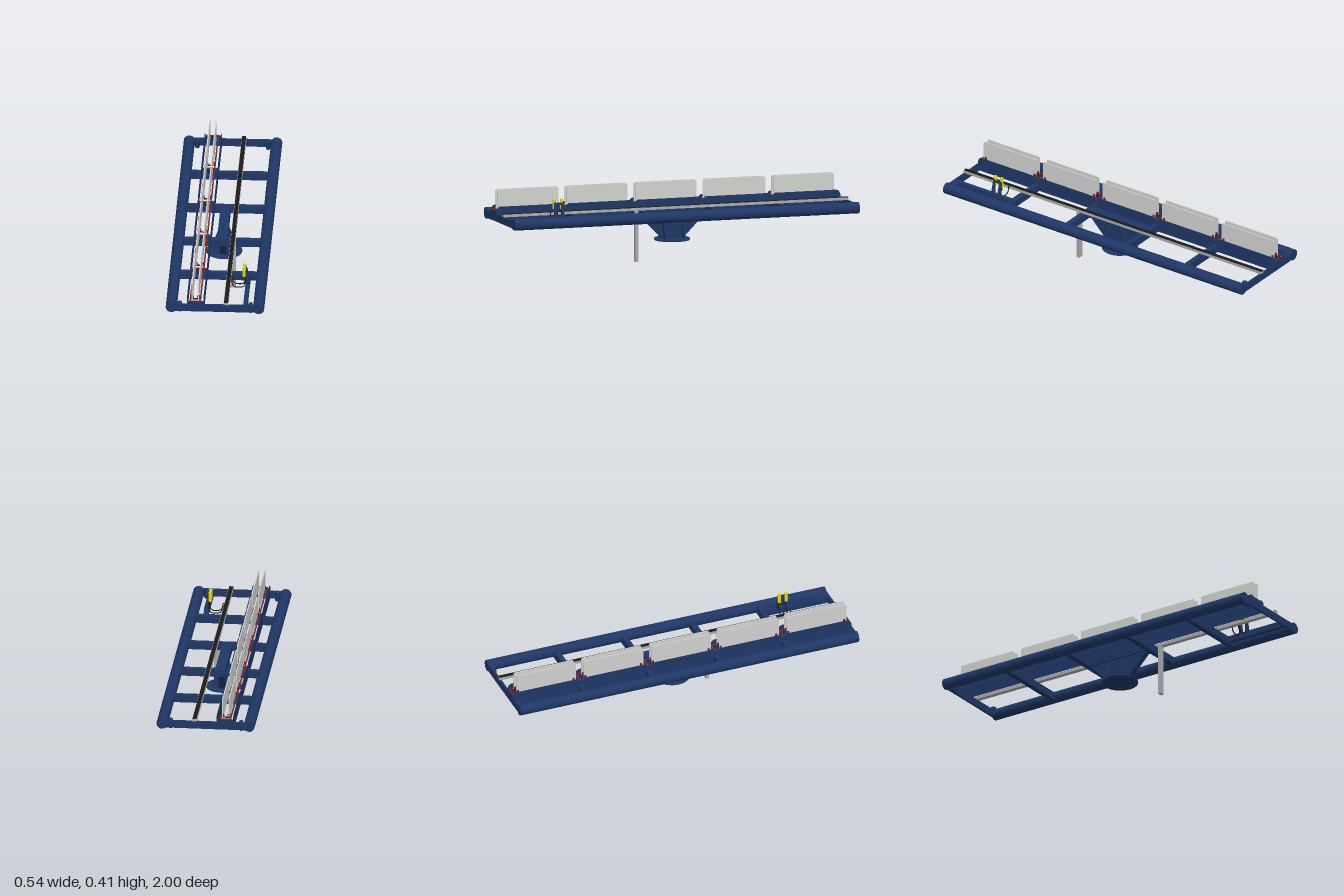
import * as THREE from 'three';

const mat = (name, color) => {
  const m = new THREE.MeshStandardMaterial({ color });
  m.name = name;
  return m;
};

export function createModel() {
  const model = new THREE.Group();
  model.name = 'platformFrame';
  const blue = mat('frameBlue', 0x1e3766);
  const pale = mat('panelPaleGrey', 0xd0d2ce);
  const grey = mat('postGrey', 0xaaaaaa);
  const black = mat('rubberBlack', 0x1c1a18);
  const red = mat('clampRed', 0x7c262e);
  const yellow = mat('lampYellow', 0xe6de00);

  const add = (name, geo, material, x = 0, y = 0, z = 0) => {
    const mesh = new THREE.Mesh(geo, material);
    mesh.name = name;
    mesh.position.set(x, y, z);
    model.add(mesh);
    return mesh;
  };
  // Box given by its limits on each axis
  const box = (name, material, x0, x1, y0, y1, z0, z1) =>
    add(name, new THREE.BoxGeometry(x1 - x0, y1 - y0, z1 - z0), material,
      (x0 + x1) / 2, (y0 + y1) / 2, (z0 + z1) / 2);
  // Extruded outline, centred on its thickness
  const plate = (points, depth) => {
    const shape = new THREE.Shape(points.map(([x, y]) => new THREE.Vector2(x, y)));
    return new THREE.ExtrudeGeometry(shape, { depth, bevelEnabled: false }).translate(0, 0, -depth / 2);
  };

  // Long side tubes and rounded corner lugs
  for (const s of [-1, 1]) {
    add('sideTube', new THREE.CylinderGeometry(0.031, 0.031, 2, 32).rotateX(Math.PI / 2), blue, s * 0.24, 0.265, 0);
    for (const e of [-1, 1]) {
      const lug = add('cornerLug', new THREE.CapsuleGeometry(0.014, 0.033, 6, 16), blue, s * 0.195, 0.2625, e * 0.979);
      lug.scale.z = 1.4;
    }
  }

  // Cross beams
  for (const z of [-0.6, -0.2, 0.2, 0.6]) box('crossBeam', blue, -0.225, 0.225, 0.242, 0.284, z - 0.015, z + 0.015);
  for (const z of [-0.994, 0.994]) box('endBeam', blue, -0.225, 0.225, 0.242, 0.284, z - 0.006, z + 0.006);

  // Pedestal: spine, tapered web, gussets and round foot
  box('spineBeam', blue, -0.028, 0.028, 0.242, 0.284, -0.2, 0.2);
  const web = plate([[-0.06, 0.113], [0.06, 0.113], [0.187, 0.243], [-0.187, 0.243]], 0.034);
  add('pedestalWeb', web.rotateY(Math.PI / 2), blue);
  for (const z of [-0.055, 0.055]) {
    add('pedestalGusset', plate([[-0.06, 0.112], [0.06, 0.112], [0.06, 0.134], [0.02, 0.243], [-0.02, 0.243], [-0.06, 0.134]], 0.008), blue, 0, 0, z);
  }
  const foot = [[0, 0.102], [0.096, 0.102], [0.099, 0.104], [0.1, 0.1075], [0.099, 0.111], [0.096, 0.113], [0, 0.113]];
  add('pedestalFoot', new THREE.LatheGeometry(foot.map(p => new THREE.Vector2(...p)), 40), blue, 0.001);

  // Five bays of guard walls and upright panels
  const wall = plate([[-0.195, 0.242], [0.195, 0.242], [0.195, 0.307], [0.188, 0.318], [0.175, 0.323],
    [-0.175, 0.323], [-0.188, 0.318], [-0.195, 0.307]], 0.003).rotateY(Math.PI / 2);
  const panel = plate([[-0.176, 0.305], [0.176, 0.305], [0.176, 0.407], [0.171, 0.412],
    [-0.171, 0.412], [-0.176, 0.407]], 0.006).rotateY(Math.PI / 2);
  const panelX = [-0.126, -0.0915];
  for (let i = -2; i <= 2; i++) {
    const z = i * 0.4;
    for (const x of [-0.153, -0.062]) add('guardWall', wall, blue, x, 0, z);
    for (const x of panelX) add('uprightPanel', panel, pale, x, 0, z + 0.004);
    // Clamps at both ends of each bay
    for (const e of [-1, 1]) {
      const cz = z + e * 0.165;
      box('clampBar', black, -0.135, -0.083, 0.3, 0.305, cz - 0.004, cz + 0.004);
      for (const x of panelX) {
        for (const s of [-1, 1]) box('clampJaw', red, x + s * 0.005 - 0.002, x + s * 0.005 + 0.002, 0.303, 0.321, cz - 0.006, cz + 0.006);
        const bolt = new THREE.CylinderGeometry(0.003, 0.003, 0.018, 8).rotateZ(Math.PI / 2);
        add('clampBolt', bolt, black, x, 0.313, cz);
      }
    }
  }

  // Panel carrier rails on blue supports
  for (const x of [-0.136, -0.081]) {
    box('carrierRail', red, x - 0.004, x + 0.004, 0.3, 0.304, -0.985, 0.985);
    box('railStrip', black, x - 0.003, x + 0.003, 0.296, 0.3, -0.985, 0.985);
  }
  for (const z of [-0.994, -0.6, -0.2, 0.2, 0.6, 0.994]) {
    const half = Math.abs(z) > 0.9 ? 0.006 : 0.012;
    box('railSupport', blue, -0.153, -0.062, 0.283, 0.3, z - half, z + half);
    box('railTie', red, -0.143, -0.075, 0.3, 0.304, z - 0.004, z + 0.004);
  }

  // Long grey cable rail with a dark top track, and hanging post
  box('cableRail', grey, 0.048, 0.074, 0.284, 0.299, -1, 1);
  box('railTrack', black, 0.05, 0.072, 0.298, 0.301, -1, 1);
  box('hangingPost', grey, 0.048, 0.077, 0, 0.3, 0.22, 0.238);

  // Lamp bracket with two yellow lamps and their hoses
  box('bracketBeam', blue, 0.155, 0.178, 0.25, 0.284, 0.6, 0.99);
  box('bracketTie', blue, 0.157, 0.161, 0.35, 0.364, 0.685, 0.74);
  for (const z of [0.692, 0.733]) {
    add('lampBracket', plate([[0.157, 0.283], [0.182, 0.283], [0.161, 0.362], [0.157, 0.365]], 0.014), blue, 0, 0, z);
    box('lampMount', red, 0.153, 0.158, 0.332, 0.363, z - 0.006, z + 0.006);
    add('lampBody', new THREE.CylinderGeometry(0.0095, 0.0095, 0.031, 16), yellow, 0.1475, 0.3445, z);
    add('lampNeck', new THREE.CylinderGeometry(0.007, 0.007, 0.005, 16), yellow, 0.1475, 0.362, z);
    add('lampCap', new THREE.CylinderGeometry(0.0095, 0.0095, 0.019, 16), yellow, 0.1475, 0.3735, z);
    const path = [[0.153, 0.332], [0.153, 0.285], [0.143, 0.265], [0.115, 0.26], [0.09, 0.268],
      [0.081, 0.288], [0.078, 0.303], [0.07, 0.301]];
    const curve = new THREE.CatmullRomCurve3(path.map(([x, y]) => new THREE.Vector3(x, y, z)));
    add('lampHose', new THREE.TubeGeometry(curve, 40, 0.003, 8), black);
  }
  return model;
}
